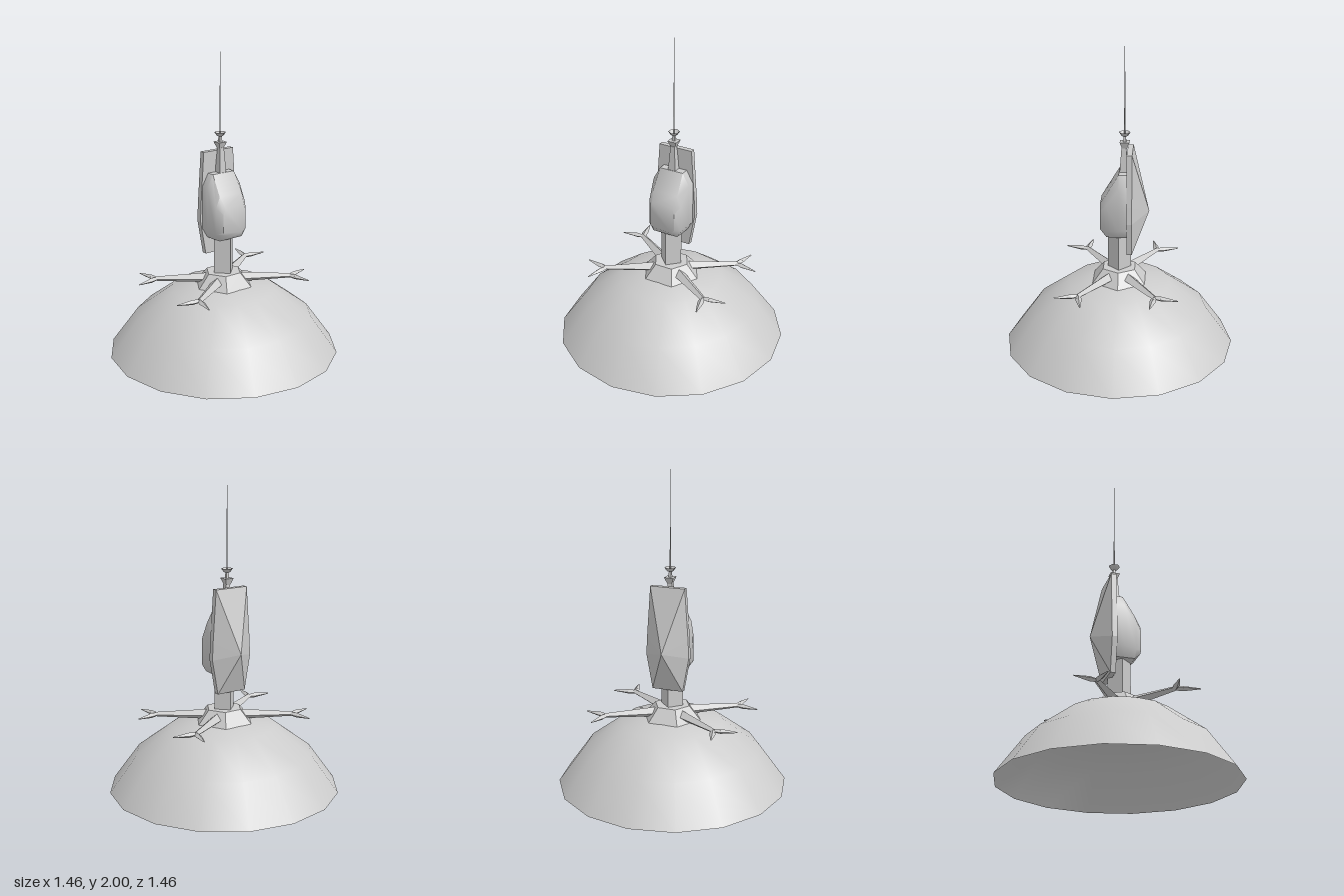
import * as THREE from 'three';
import { toCreasedNormals } from 'three/addons/utils/BufferGeometryUtils.js';

const flat = new THREE.MeshStandardMaterial({ color: 0xcccccc, flatShading: true });
const smooth = new THREE.MeshStandardMaterial({ color: 0xcccccc, side: THREE.DoubleSide });

function add(parent, name, geometry, material = flat) {
  const mesh = new THREE.Mesh(geometry, material);
  mesh.name = name;
  parent.add(mesh);
  return mesh;
}

// Skins equal-length loops (counter-clockwise seen from +z), back to front, with fan caps.
function loft(loops) {
  const n = loops[0].length, index = [];
  for (let r = 0; r < loops.length - 1; r++) {
    for (let i = 0; i < n; i++) {
      const a = r * n + i, b = r * n + (i + 1) % n;
      index.push(a, b, b + n, a, b + n, a + n);
    }
  }
  const last = (loops.length - 1) * n;
  for (let i = 1; i < n - 1; i++) {
    index.push(0, i + 1, i, last, last + i, last + i + 1);
  }
  const g = new THREE.BufferGeometry();
  g.setAttribute('position', new THREE.Float32BufferAttribute(loops.flat(2), 3));
  g.setIndex(index);
  g.computeVertexNormals();
  return g;
}

// Left-right symmetric loop from right-hand points listed bottom to top.
function mirrored(half, z) {
  const right = half.map(([x, y]) => [x, y, z]);
  const left = half.map(([x, y]) => [-x, y, z]).reverse();
  return [...right, ...left];
}

// Tapered four-sided bar from a to b, both in the horizontal plane of its parent.
function bar(parent, name, a, b, rA, rB, flatten) {
  const dx = b[0] - a[0], dz = b[1] - a[1], len = Math.hypot(dx, dz);
  const g = new THREE.CylinderGeometry(rB, rA, len, 4);
  g.rotateZ(-Math.PI / 2).scale(1, flatten, 1).translate(len / 2, 0, 0);
  const mesh = add(parent, name, g);
  mesh.position.set(a[0], 0, a[1]);
  mesh.rotation.y = -Math.atan2(dz, dx);
}

export function createModel() {
  const model = new THREE.Group();
  model.name = 'beaconStation';

  // Open sixteen-sided dome
  const domeProfile = [[0.73, 0], [0.56, 0.235], [0.325, 0.41], [0.13, 0.442], [0, 0.455]];
  add(model, 'dome', new THREE.LatheGeometry(domeProfile.map(p => new THREE.Vector2(...p)), 16), smooth);

  // Six-sided hub, corners on the x axis
  const hub = new THREE.CylinderGeometry(0.115, 0.19, 0.085, 6);
  hub.rotateY(Math.PI / 2).translate(0, 0.4775, 0);
  add(model, 'hub', hub);

  // Four forked legs
  const angle = 0.58;
  for (const a of [angle, Math.PI - angle, Math.PI + angle, -angle]) {
    const leg = new THREE.Group();
    leg.name = 'leg';
    leg.position.y = 0.475;
    leg.rotation.y = a;
    bar(leg, 'legArm', [0.08, 0], [0.43, 0], 0.042, 0.018, 0.8);
    for (const s of [-1, 1]) {
      bar(leg, 'legProngRoot', [0.42, 0], [0.455, s * 0.03], 0.014, 0.02, 0.8);
      bar(leg, 'legProngTip', [0.455, s * 0.03], [0.53, s * 0.1], 0.02, 0.004, 0.8);
    }
    model.add(leg);
  }

  // Diamond-section post
  const post = new THREE.CylinderGeometry(0.073, 0.073, 0.34, 4);
  post.translate(0, 0.68, 0);
  add(model, 'post', post);

  // Rounded pod in front
  const podBack = [[0.09, 0.75], [0.125, 0.81], [0.125, 1.08], [0.08, 1.16]];
  const pod = loft([
    mirrored(podBack, -0.055),
    mirrored(podBack, 0),
    mirrored([[0.085, 0.752], [0.115, 0.8], [0.112, 0.97], [0.085, 1.035]], 0.075),
    mirrored([[0.065, 0.795], [0.085, 0.815], [0.085, 0.93], [0.07, 0.97]], 0.115),
  ]);
  add(model, 'pod', toCreasedNormals(pod, 0.9), smooth);

  // Tall back panel drawn out to a point behind
  const rim = [[0.1, 0.64], [0.14, 0.86], [0.135, 0.97], [0.112, 1.295]];
  add(model, 'backPanel', loft([
    mirrored(rim.map(() => [0, 0.9]), -0.187),
    mirrored(rim, -0.083),
    mirrored(rim, -0.05),
  ]));

  // Mast with flared head
  const mast = new THREE.Group();
  mast.name = 'mast';
  mast.position.z = -0.033;
  model.add(mast);
  const square = (name, rTop, rBottom, y0, y1, z = 0) => {
    const g = new THREE.CylinderGeometry(rTop, rBottom, y1 - y0, 4);
    g.rotateY(Math.PI / 4).translate(0, (y0 + y1) / 2, z);
    add(mast, name, g);
  };
  square('mastStem', 0.02, 0.037, 1.14, 1.315, 0.005);
  square('mastHead', 0.042, 0.02, 1.31, 1.35);
  square('mastNeck', 0.009, 0.014, 1.35, 1.39);

  // Shallow dish and needle antenna
  const bowl = [[0, 1.382], [0.02, 1.387], [0.036, 1.41]];
  const dish = new THREE.LatheGeometry(bowl.map(p => new THREE.Vector2(...p)), 6);
  add(mast, 'dish', dish, smooth);
  const needle = new THREE.CylinderGeometry(0.0008, 0.0045, 0.62, 4);
  needle.translate(0, 1.69, 0);
  add(mast, 'antenna', needle);

  return model;
}
